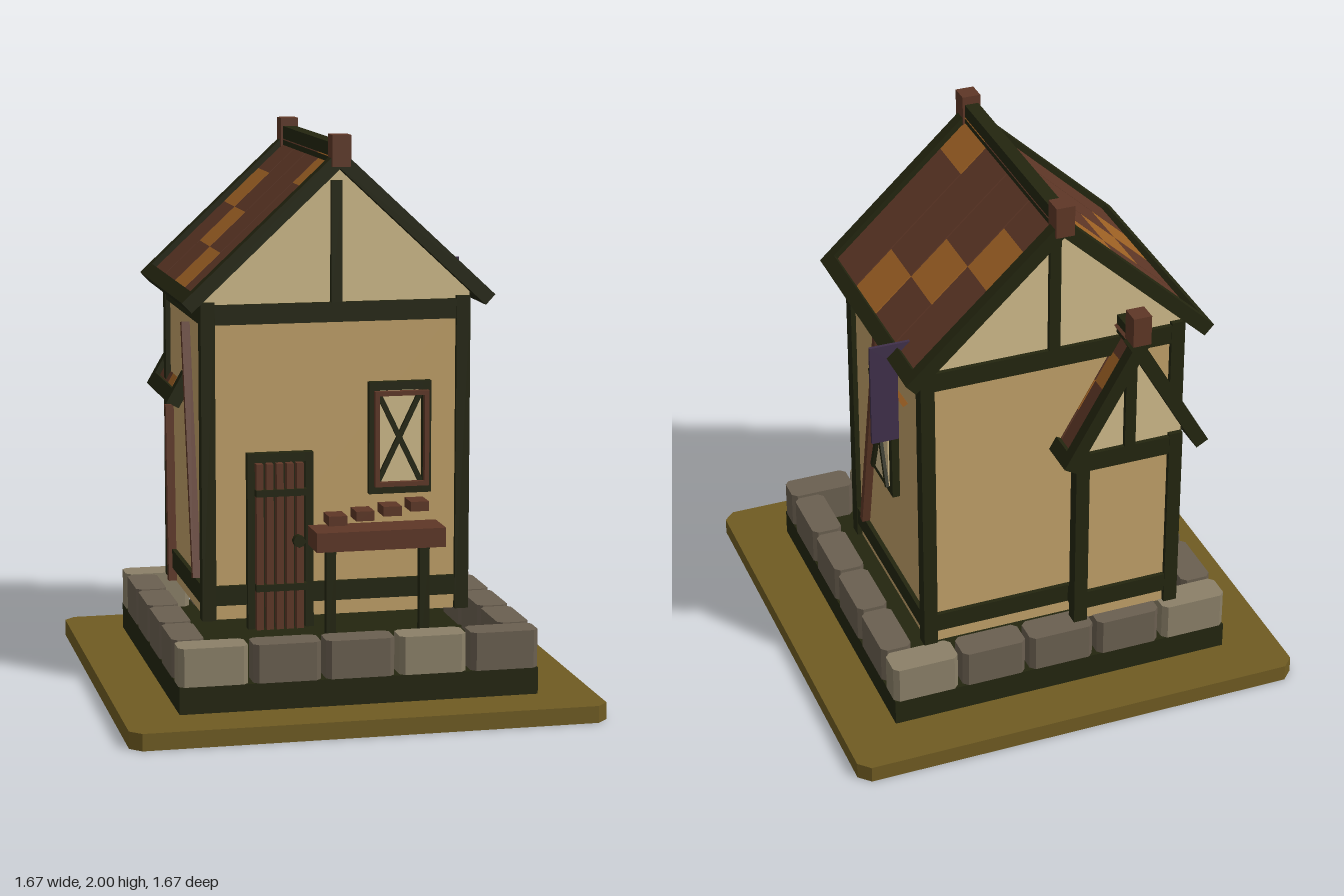
import * as THREE from 'three';

const mat = (name, color) => {
  const m = new THREE.MeshStandardMaterial({ color });
  m.name = name;
  return m;
};

export function createModel() {
  const timber = mat('dark timber', 0x23250f);
  const plaster = mat('plaster', 0xc0a068);
  const palePlaster = mat('pale plaster', 0xcfba8a);
  const redWood = mat('red brown wood', 0x5e3726);
  const orange = mat('orange tile', 0xa06224);
  const stone = mat('grey stone', 0x6a5f50);
  const paleStone = mat('pale stone', 0x8b8068);
  const grass = mat('olive ground', 0x6f5b22);
  const purple = mat('purple cloth', 0x40304a);

  const model = new THREE.Group();
  model.name = 'cottage';

  const group = (name, parent = model) => {
    const g = new THREE.Group();
    g.name = name;
    parent.add(g);
    return g;
  };
  const add = (parent, name, geo, material) => {
    const m = new THREE.Mesh(geo, material);
    m.name = name;
    parent.add(m);
    return m;
  };
  // Box given by its limits on each axis
  const box = (parent, name, material, x0, x1, y0, y1, z0, z1) => {
    const m = add(parent, name, new THREE.BoxGeometry(x1 - x0, y1 - y0, z1 - z0), material);
    m.position.set((x0 + x1) / 2, (y0 + y1) / 2, (z0 + z1) / 2);
    return m;
  };
  // Flat bar in the xy plane between two points
  const bar = (parent, name, material, x0, y0, x1, y1, width, z0, z1) => {
    const m = add(parent, name, new THREE.BoxGeometry(width, Math.hypot(x1 - x0, y1 - y0), z1 - z0), material);
    m.position.set((x0 + x1) / 2, (y0 + y1) / 2, (z0 + z1) / 2);
    m.rotation.z = -Math.atan2(x1 - x0, y1 - y0);
    return m;
  };
  // Upright block whose plan has cut corners
  const block = (parent, name, material, x0, x1, y0, y1, z0, z1, c) => {
    const s = new THREE.Shape([
      [x0 + c, -z1], [x1 - c, -z1], [x1, -z1 + c], [x1, -z0 - c],
      [x1 - c, -z0], [x0 + c, -z0], [x0, -z0 - c], [x0, -z1 + c],
    ].map(([x, y]) => new THREE.Vector2(x, y)));
    const geo = new THREE.ExtrudeGeometry(s, { depth: y1 - y0, bevelEnabled: false });
    geo.rotateX(-Math.PI / 2).translate(0, y0, 0);
    return add(parent, name, geo, material);
  };
  // Rectangular frame facing +z
  const frame = (parent, name, material, x0, x1, y0, y1, t, z0, z1) => {
    box(parent, name, material, x0, x0 + t, y0, y1, z0, z1);
    box(parent, name, material, x1 - t, x1, y0, y1, z0, z1);
    box(parent, name, material, x0 + t, x1 - t, y0, y0 + t, z0, z1);
    box(parent, name, material, x0 + t, x1 - t, y1 - t, y1, z0, z1);
  };

  // Ground and foundation
  block(model, 'ground', grass, -0.835, 0.835, 0, 0.06, -0.835, 0.835, 0.04);
  box(model, 'foundation', timber, -0.635, 0.635, 0.06, 0.155, -0.635, 0.635);

  // Ring of stones
  const stones = group('stoneRing');
  const rowEdges = [-0.645, -0.385, -0.13, 0.13, 0.385, 0.645];
  for (const [z0, z1, pale] of [[0.525, 0.637, [0, 3]], [-0.637, -0.525, [0, 4]]]) {
    for (let i = 0; i < 5; i++) {
      block(stones, 'stone', pale.includes(i) ? paleStone : stone,
        rowEdges[i] + 0.009, rowEdges[i + 1] - 0.009, 0.155, 0.29, z0, z1, 0.018);
    }
  }
  for (const x0 of [-0.637, 0.525]) {
    for (let i = 0; i < 4; i++) {
      const z = -0.518 + i * 0.259;
      block(stones, 'stone', stone, x0, x0 + 0.112, 0.155, 0.29, z + 0.008, z + 0.251, 0.018);
    }
  }

  // Half-timbered walls with a gable
  function walls(parent, o) {
    const { cx, w, z0, z1, bottom, top, peak } = o;
    const t = 0.05, n = 0.018;
    const xl = cx - w, xr = cx + w;
    box(parent, 'wall', plaster, xl + n, xr - n, bottom, top, z0 + n, z1 - n);
    const s = new THREE.Shape([
      new THREE.Vector2(xl, top - 0.01), new THREE.Vector2(xr, top - 0.01),
      new THREE.Vector2(xr, peak - o.slope * w), new THREE.Vector2(cx, peak),
      new THREE.Vector2(xl, peak - o.slope * w),
    ]);
    const geo = new THREE.ExtrudeGeometry(s, { depth: z1 - z0 - 2 * n, bevelEnabled: false });
    add(parent, 'gable', geo.translate(0, 0, z0 + n), palePlaster);
    for (const x of [xl, xr - t]) {
      for (const z of [z0, z1 - t]) box(parent, 'cornerPost', timber, x, x + t, bottom, top + 0.01, z, z + t);
    }
    for (const [y0, y1] of [[0.34, 0.41], [top - 0.07, top]]) {
      for (const z of [z0, z1 - t]) box(parent, 'wallBeam', timber, xl + t, xr - t, y0, y1, z + 0.002, z + t - 0.002);
      for (const x of [xl, xr - t]) box(parent, 'wallBeam', timber, x + 0.002, x + t - 0.002, y0, y1, z0 + t, z1 - t);
    }
    for (const z of [z0, z1 - 0.04]) box(parent, 'gablePost', timber, cx - 0.02, cx + 0.02, top, peak - 0.05, z, z + 0.04);
  }

  // Pitched roof: verge boards, eaves, ridge and four strips of tiles per side
  function roof(parent, o) {
    const { cx, peak, slope, run, z0, z1 } = o;
    const a = Math.atan(slope), length = run / Math.cos(a), edge = 0.045;
    for (const s of [-1, 1]) {
      const slab = (name, material, d0, d1, h0, h1, za, zb) => {
        const m = add(parent, name, new THREE.BoxGeometry(d1 - d0, h1 - h0, zb - za), material);
        const d = (d0 + d1) / 2, h = (h0 + h1) / 2;
        m.position.set(cx + s * (d * Math.cos(a) + h * Math.sin(a)),
          peak - d * Math.sin(a) + h * Math.cos(a), (za + zb) / 2);
        m.rotation.z = -s * a;
      };
      slab('vergeBoard', timber, 0, length, -0.05, 0, z0, z0 + edge);
      slab('vergeBoard', timber, 0, length, -0.05, 0, z1 - edge, z1);
      slab('eaveBeam', timber, length - 0.052, length, -0.05, 0, z0 + edge, z1 - edge);
      const tile = (length - 0.052) / 4, strip = (z1 - z0 - 2 * edge) / 4;
      [1, 2, 3, 0].forEach((accent, i) => {
        const za = z0 + edge + i * strip;
        for (let j = 0; j < 4; j++) {
          slab('roofTile', j === accent ? orange : redWood, j * tile, (j + 1) * tile,
            -0.04, -0.02, za + (i ? 0.003 : 0), za + strip - (i < 3 ? 0.003 : 0));
        }
      });
    }
    box(parent, 'ridgeBeam', timber, cx - 0.025, cx + 0.025, peak - 0.05, peak + 0.02, z0 + 0.003, z1 - 0.003);
  }
  const finial = (parent, x, y, z) => box(parent, 'finial', redWood, x - 0.033, x + 0.033, y - 0.11, y, z - 0.035, z + 0.035);

  // Main house
  const house = group('house');
  walls(house, { cx: 0, w: 0.485, z0: -0.53, z1: 0.255, bottom: 0.287, top: 1.41, peak: 1.887, slope: 0.93 });
  roof(house, { cx: 0, peak: 1.95, slope: 0.93, run: 0.56, z0: -0.6, z1: 0.31 });
  finial(house, 0, 2, 0.295);
  finial(house, 0, 2, -0.575);

  // Back annex
  const annex = group('annex');
  walls(annex, { cx: -0.26, w: 0.2, z0: -0.595, z1: -0.3, bottom: 0.287, top: 1.0, peak: 1.375, slope: 1.74 });
  roof(annex, { cx: -0.26, peak: 1.47, slope: 1.74, run: 0.27, z0: -0.655, z1: -0.2 });
  finial(annex, -0.26, 1.56, -0.637);

  // Slanted braces on the side walls
  const sideGroup = (name, x) => {
    const g = group(name);
    g.position.x = x;
    g.rotation.y = Math.PI / 2; // local x runs along -z
    return g;
  };
  const rightBrace = sideGroup('leftSideBrace', 0.467);
  bar(rightBrace, 'brace', redWood, -0.12, 0.415, 0.08, 1.31, 0.026, 0, 0.03);
  const leftBrace = sideGroup('rightSideBraces', -0.467);
  bar(leftBrace, 'brace', redWood, -0.12, 0.415, 0.08, 1.31, 0.026, -0.03, 0);
  bar(leftBrace, 'annexBrace', redWood, 0.4, 0.29, 0.44, 0.95, 0.035, -0.03, 0);

  // Windows: pane, frame and crossed bars
  function crossWindow(g, x0, x1, y0, y1, pane, rim, cross) {
    const t = 0.03, a = x0 + t, b = x1 - t, c = y0 + t, d = y1 - t;
    box(g, 'windowPane', palePlaster, a, b, c, d, pane, pane + 0.009);
    frame(g, 'windowFrame', timber, x0, x1, y0, y1, t, rim, rim + 0.027);
    bar(g, 'crossBar', timber, a, c, b, d, 0.018, cross, cross + 0.013);
    bar(g, 'crossBar', timber, b, c, a, d, 0.018, cross, cross + 0.012);
  }
  const frontWindow = group('frontWindow');
  frontWindow.position.z = 0.255;
  crossWindow(frontWindow, 0.105, 0.33, 0.73, 1.13, 0.012, 0.026, 0.03);
  frame(frontWindow, 'innerFrame', redWood, 0.12, 0.315, 0.76, 1.1, 0.016, 0.062, 0.085);
  const sideWindow = sideGroup('sideWindow', 0.485);
  crossWindow(sideWindow, 0.055, 0.265, 0.76, 1.225, 0.013, -0.01, 0.022);

  // Door with planks, bands and handle
  const door = group('door');
  box(door, 'doorBack', timber, -0.305, -0.11, 0.255, 0.86, 0.24, 0.262);
  box(door, 'doorJamb', timber, -0.325, -0.3, 0.255, 0.885, 0.24, 0.275);
  box(door, 'doorJamb', timber, -0.118, -0.088, 0.255, 0.885, 0.24, 0.275);
  box(door, 'doorLintel', timber, -0.3, -0.118, 0.853, 0.885, 0.24, 0.275);
  for (let i = 0; i < 5; i++) {
    const x = -0.297 + i * 0.036;
    box(door, 'doorPlank', redWood, x, x + 0.025, 0.255, 0.85, 0.262, 0.295);
  }
  for (const y of [0.395, 0.735]) box(door, 'doorBand', timber, -0.3, -0.118, y, y + 0.024, 0.27, 0.304);
  const handle = add(door, 'doorHandle', new THREE.CylinderGeometry(0.022, 0.022, 0.03, 8), timber);
  handle.rotation.x = Math.PI / 2;
  handle.position.set(-0.15, 0.575, 0.312);

  // Market table with four small goods
  const table = group('table');
  box(table, 'tableTop', redWood, -0.135, 0.325, 0.58, 0.648, 0.395, 0.54);
  for (const x of [-0.09, 0.245]) box(table, 'tableLeg', timber, x, x + 0.035, 0.155, 0.58, 0.455, 0.488);
  for (let i = 0; i < 4; i++) {
    const x = -0.087 + i * 0.097, y = 0.666 + i * 0.013;
    box(table, 'tableGoods', redWood, x, x + 0.065, y, y + 0.034, 0.428, 0.515);
  }

  // Hanging banner and its strut
  const banner = group('banner');
  const cloth = new THREE.Shape([
    [0.475, 1.48], [0.475, 1.43], [0.522, 1.4], [0.522, 1.1], [0.62, 1.1], [0.62, 1.48],
  ].map(([x, y]) => new THREE.Vector2(x, y)));
  add(banner, 'bannerCloth', new THREE.ExtrudeGeometry(cloth, { depth: 0.012, bevelEnabled: false }).translate(0, 0, -0.406), purple);
  bar(banner, 'bannerStrut', orange, 0.492, 1.22, 0.582, 1.385, 0.02, -0.394, -0.376);

  return model;
}
